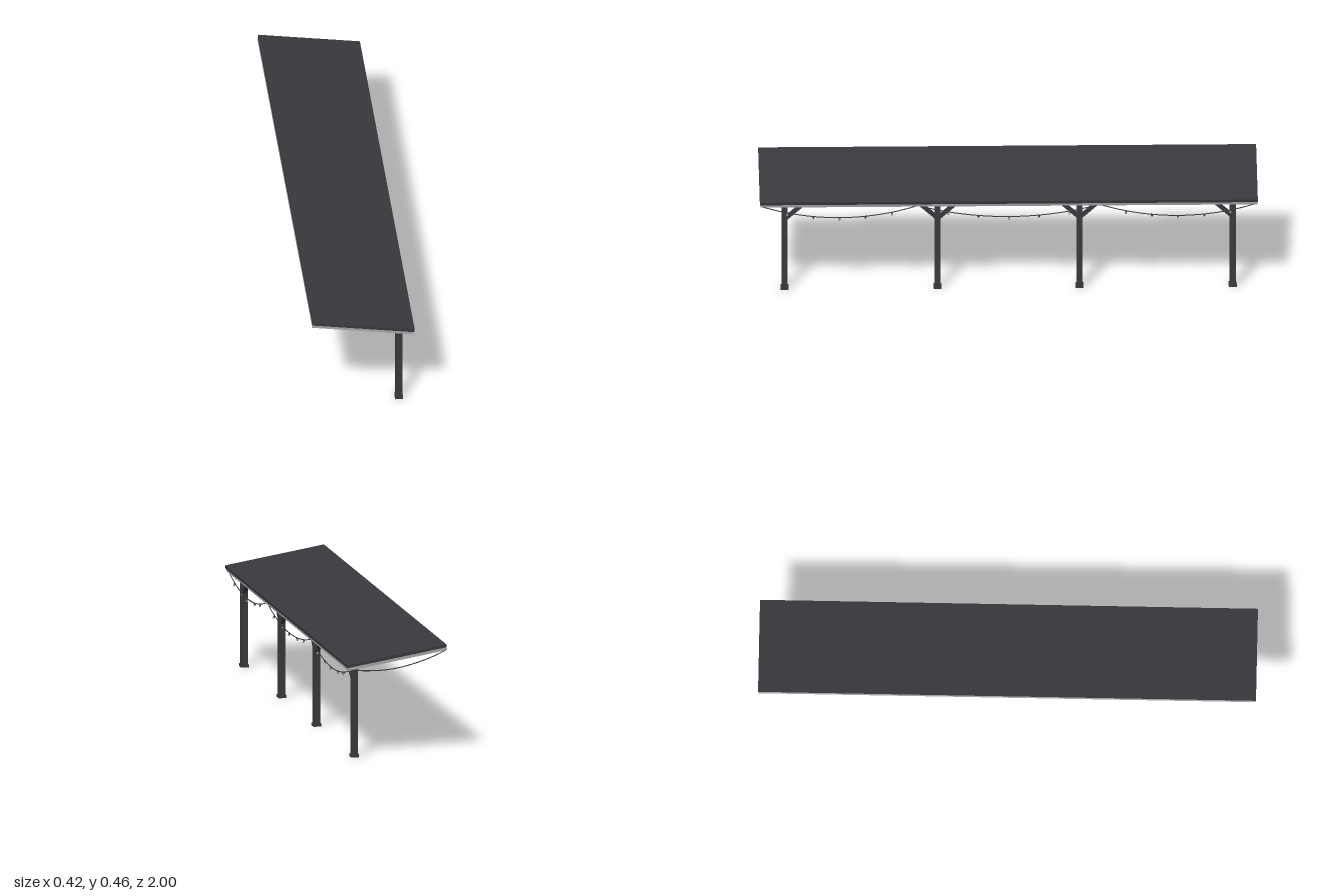
import * as THREE from 'three';

export function createModel() {
  const model = new THREE.Group();
  const charcoal = new THREE.MeshStandardMaterial({ color: 0x3a383d });
  charcoal.name = 'charcoal';
  const paleGrey = new THREE.MeshStandardMaterial({ color: 0xaaa8aa });
  paleGrey.name = 'paleGrey';

  const add = (parent, name, geometry, material, x = 0, y = 0, z = 0) => {
    const mesh = new THREE.Mesh(geometry, material);
    mesh.name = name;
    mesh.position.set(x, y, z);
    parent.add(mesh);
    return mesh;
  };
  const box = (w, h, d) => new THREE.BoxGeometry(w, h, d);

  // Sloping roof: dark sheet over a pale deck
  const roof = new THREE.Group();
  roof.name = 'roof';
  roof.position.set(0.0015, 0.4305, 0);
  roof.rotation.z = -0.157;
  add(roof, 'roofSheet', box(0.416, 0.012, 2), charcoal, 0, -0.006, 0);
  add(roof, 'roofDeck', box(0.413, 0.0125, 1.996), paleGrey, -0.001, -0.01825, 0);
  model.add(roof);

  // Beam carried by the posts
  const postX = 0.153;
  add(model, 'beam', box(0.024, 0.018, 1.86), charcoal, postX, 0.373, 0);

  // Posts with feet and diagonal braces along the beam
  const brace = (parent, side) => {
    const from = new THREE.Vector2(0, 0.303), to = new THREE.Vector2(side * 0.075, 0.37);
    const mesh = add(parent, 'brace', box(0.018, 0.014, from.distanceTo(to)), charcoal,
      0, (from.y + to.y) / 2, to.x / 2);
    mesh.rotation.x = -Math.atan2(to.y - from.y, to.x);
  };
  for (const z of [-0.9, -0.285, 0.285, 0.9]) {
    const post = new THREE.Group();
    post.name = 'post';
    post.position.set(postX, 0, z);
    add(post, 'postShaft', box(0.026, 0.382, 0.024), charcoal, 0, 0.191, 0);
    add(post, 'postFoot', box(0.032, 0.012, 0.032), charcoal, 0, 0.006, 0);
    const sides = Math.abs(z) > 0.5 ? [-Math.sign(z)] : [-1, 1];
    sides.forEach((side) => brace(post, side));
    model.add(post);
  }

  const cable = (name, curve, radius) =>
    add(model, name, new THREE.TubeGeometry(curve, 24, radius, 6), charcoal);

  // Slack cable across the back end
  cable('endCable', new THREE.CatmullRomCurve3([
    [-0.208, 0.44], [-0.15, 0.415], [-0.1, 0.398], [-0.03, 0.38],
    [0.03, 0.371], [0.085, 0.369], [0.14, 0.371], [0.193, 0.376],
  ].map(([x, y]) => new THREE.Vector3(x, y, -0.993))), 0.0022);

  // Three swags of lights along the low edge
  const cableX = 0.193;
  const bulbShape = new THREE.SphereGeometry(0.0045, 8, 6);
  const socketShape = new THREE.CylinderGeometry(0.003, 0.004, 0.007, 8);
  const anchors = [-0.995, -0.365, 0.365, 0.995];
  for (let i = 0; i < 3; i++) {
    const a = anchors[i], b = anchors[i + 1];
    const at = (t) => new THREE.Vector3(cableX, 0.375 - 0.2 * t * (1 - t), a + (b - a) * t);
    const points = Array.from({ length: 9 }, (_, k) => at(k / 8));
    cable('lightCable', new THREE.CatmullRomCurve3(points), 0.002);
    for (let k = 1; k <= 5; k++) {
      const light = new THREE.Group();
      light.name = 'hangingLight';
      light.position.copy(at(k / 6));
      light.rotation.z = k % 2 ? 0.35 : -0.35;
      add(light, 'socket', socketShape, charcoal, 0, -0.003, 0);
      add(light, 'bulb', bulbShape, paleGrey, 0, -0.009, 0);
      model.add(light);
    }
  }
  return model;
}
